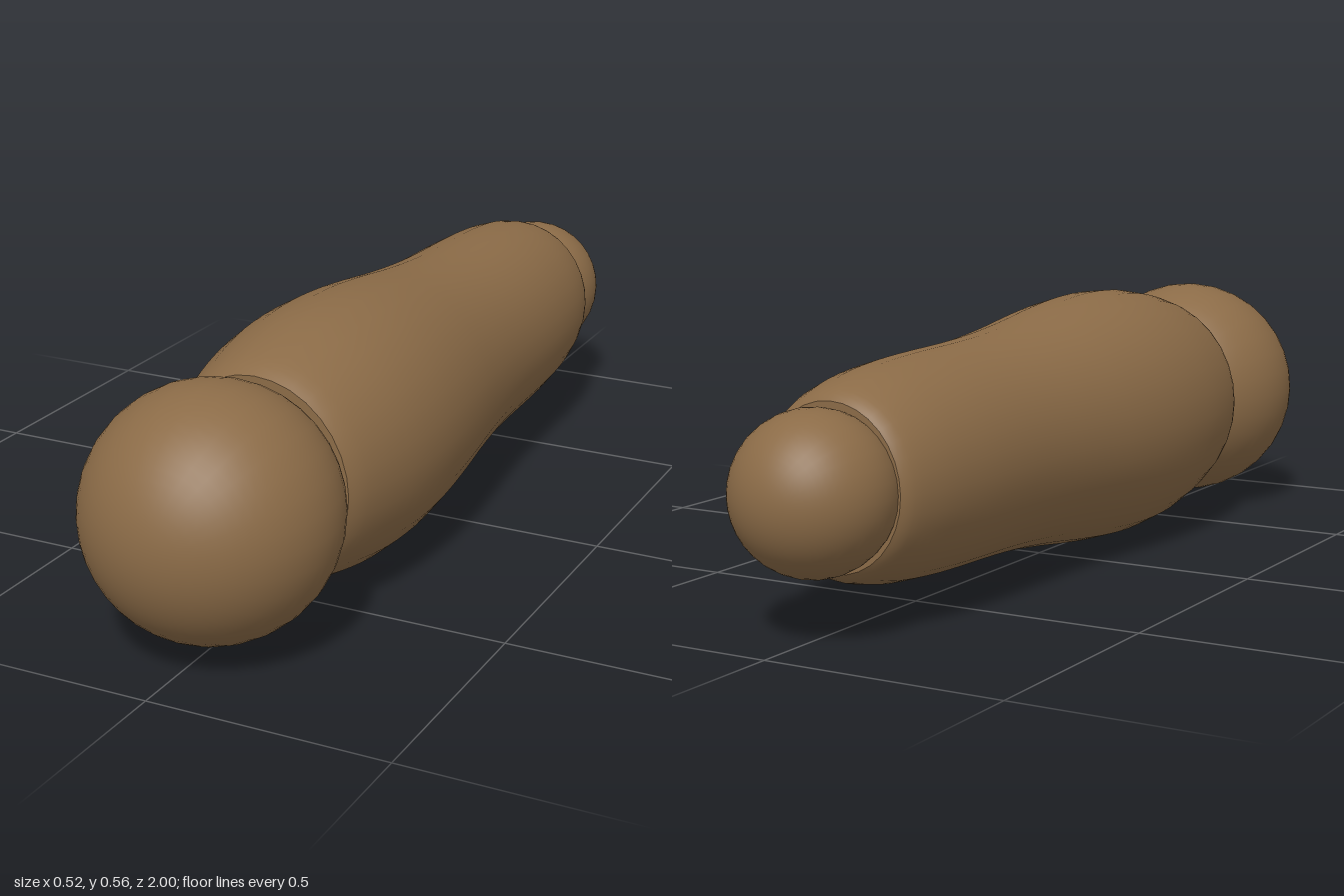
import * as THREE from 'three';

const CENTER_Y = 0.28;
const SEGMENTS = 32;

export function createModel() {
  const group = new THREE.Group();
  group.name = 'limb';
  const material = new THREE.MeshStandardMaterial({ color: 0x8b6b47 });

  // Every part is turned about the z axis
  const addPart = (name, geometry, z) => {
    geometry.rotateX(Math.PI / 2);
    const mesh = new THREE.Mesh(geometry, material);
    mesh.name = name;
    mesh.position.set(0, CENTER_Y, z);
    group.add(mesh);
  };

  // Tapered shaft: [half height, z] from the narrow back to the wide front
  const profile = [
    [0.165, -0.785], [0.182, -0.765], [0.197, -0.72], [0.21, -0.65],
    [0.219, -0.55], [0.223, -0.45], [0.226, -0.33], [0.232, -0.22],
    [0.244, -0.1], [0.26, 0.02], [0.273, 0.14], [0.278, 0.25],
    [0.273, 0.36], [0.257, 0.46], [0.236, 0.54], [0.216, 0.577],
  ].map(([r, z]) => new THREE.Vector2(r, z));
  const outline = new THREE.SplineCurve(profile).getPoints(40);
  const shaft = new THREE.LatheGeometry(outline, SEGMENTS);
  shaft.scale(0.938, 1, 1);
  addPart('shaft', shaft, 0);

  // Flat end faces of the shaft
  for (const [name, r, z, turn] of [
    ['backCap', 0.165, -0.785, Math.PI / 2],
    ['frontCap', 0.216, 0.577, -Math.PI / 2],
  ]) {
    const cap = new THREE.CircleGeometry(r, SEGMENTS).rotateX(turn);
    cap.scale(0.938, 1, 1);
    addPart(name, cap, z);
  }

  // Rounded joints at both ends
  addPart('frontJoint', new THREE.SphereGeometry(0.255, SEGMENTS, 32), 0.745);
  addPart('backJoint', new THREE.SphereGeometry(0.16, SEGMENTS, 32), -0.84);

  return group;
}
